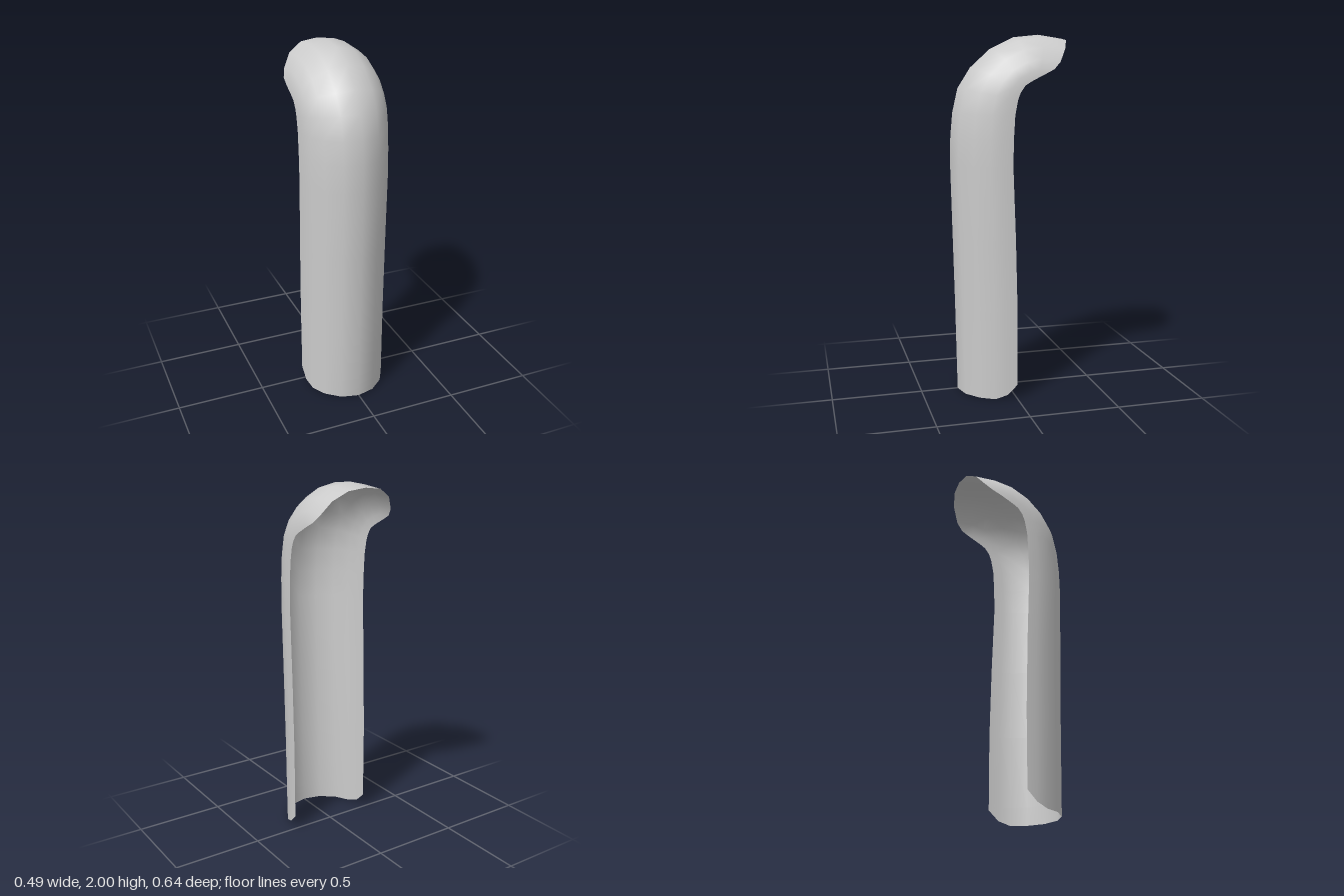
import * as THREE from 'three';

const HALF_WIDTH = 0.245;
// angles of the half cross-section, from the crown line to the open edge
const ANGLES = [0, 24, 46.6, 65.5, 79, 90].map(THREE.MathUtils.degToRad);

// each section: crown line z, y, then open edge z, y
const SECTIONS = [
  [0.29, 0, 0, 0],
  [0.292, 0.1, 0, 0.1],
  [0.3, 0.5, 0, 0.5],
  [0.31, 0.9, 0.01, 0.9],
  [0.32, 1.3, 0.025, 1.3],
  [0.317, 1.45, 0.022, 1.45],
  [0.305, 1.58, 0.015, 1.57],
  [0.275, 1.71, 0, 1.65],
  [0.205, 1.82, -0.015, 1.69],
  [0.095, 1.92, -0.04, 1.725],
  [-0.04, 1.985, -0.075, 1.747],
  [-0.18, 2.0, -0.11, 1.765],
];

// rounded lower corners: height of the bottom rim at each angle
const BOTTOM_LIFT = [0, 0, 0, 0, 0.025, 0.08];
// rounded rim of the hood: z, y at each angle
const HOOD_RIM = [[-0.318, 1.98], [-0.31, 1.968], [-0.28, 1.92], [-0.24, 1.85], [-0.2, 1.81], [-0.15, 1.785]];

// half cross-section as [x, y, z] points
function halfSection([cz, cy, ez, ey], row) {
  return ANGLES.map((a, k) => [
    HALF_WIDTH * Math.sin(a),
    ey + (cy - ey) * Math.cos(a) + (row === 0 ? BOTTOM_LIFT[k] : 0),
    ez + (cz - ez) * Math.cos(a),
  ]);
}

function shellGeometry() {
  const halves = SECTIONS.map(halfSection);
  halves.push(HOOD_RIM.map(([z, y], k) => [HALF_WIDTH * Math.sin(ANGLES[k]), y, z]));

  // mirror every half section into a full row
  const rows = halves.map((h) => [
    ...h.slice(1).reverse().map(([x, y, z]) => [-x, y, z]),
    ...h,
  ]);
  const n = rows[0].length;
  const index = [];
  for (let i = 0; i < rows.length - 1; i++) {
    for (let j = 0; j < n - 1; j++) {
      const a = i * n + j, b = a + 1, c = b + n, d = a + n;
      index.push(a, b, c, a, c, d);
    }
  }
  const geometry = new THREE.BufferGeometry();
  geometry.setAttribute('position', new THREE.Float32BufferAttribute(rows.flat(2), 3));
  geometry.setIndex(index);
  geometry.computeVertexNormals();
  return geometry;
}

export function createModel() {
  const group = new THREE.Group();
  group.name = 'hoodedCover';
  // thin open-backed shell that bends over into a hood
  const shell = new THREE.Mesh(
    shellGeometry(),
    new THREE.MeshStandardMaterial({ color: 0xcccccc, side: THREE.DoubleSide })
  );
  shell.name = 'shell';
  group.add(shell);
  return group;
}
